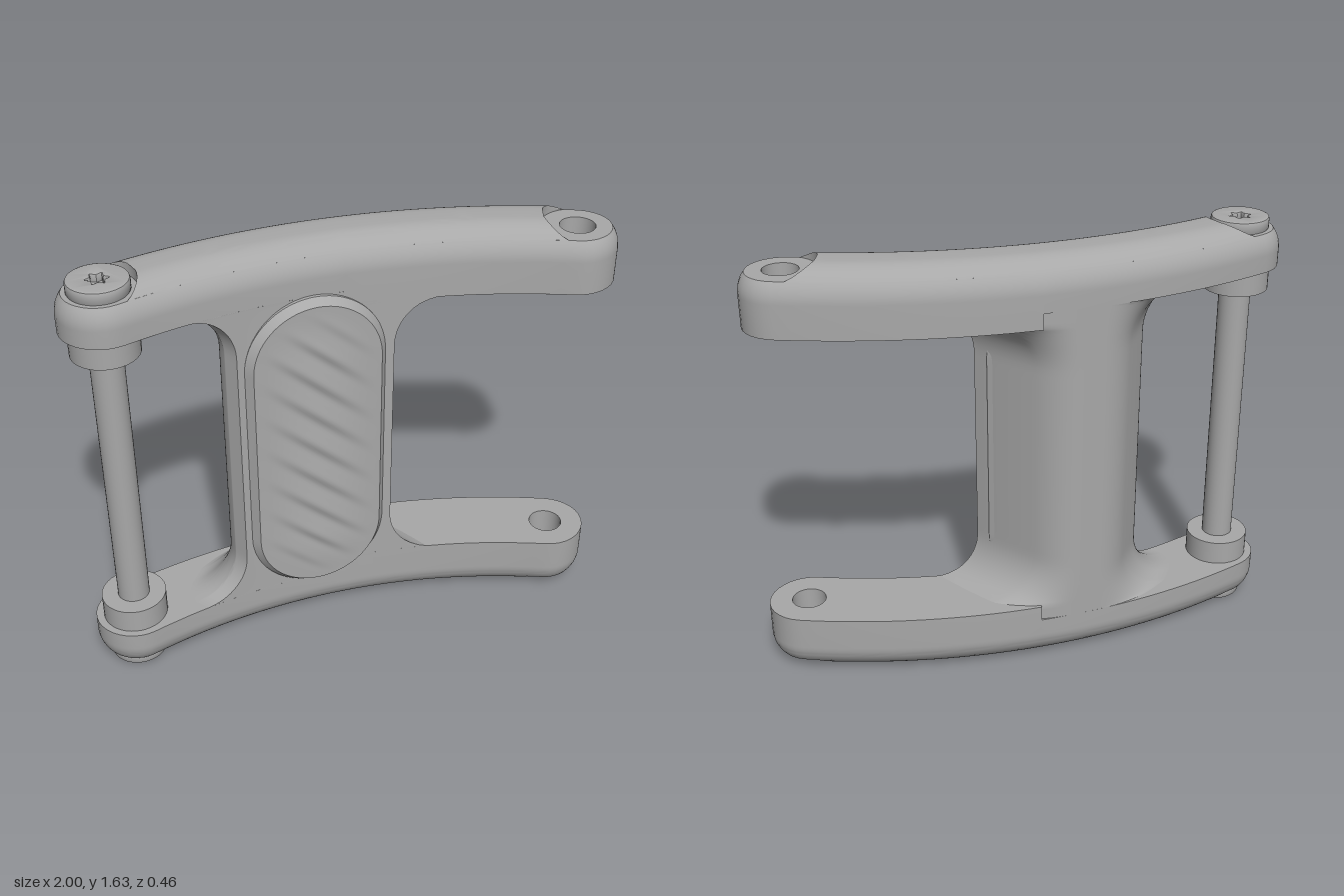
import * as THREE from 'three';
import { mergeGeometries, toCreasedNormals } from 'three/addons/utils/BufferGeometryUtils.js';

const H = 1.635;                 // overall height
const RC = 2.38, ZC = 2.30;      // bend radius of the frame and its centre in z
const PIN_X = 0.85, PIN_Z = 0.077;
const S_END = RC * Math.asin(PIN_X / RC); // arc length to the pin axis
const HALF = 0.15, ROUND = 0.12, FLOOR = 0.045, SPOT = 0.13, HOLE = 0.065;

const metal = new THREE.MeshStandardMaterial({ color: 0xa8a8a8 });
metal.name = 'grey metal';

// Bends (distance along the arc, offset to the back, height) into space
function bend(s, r, y) {
  const a = s / RC;
  return [(RC + r) * Math.sin(a), y, ZC - (RC + r) * Math.cos(a)];
}

// Skin over rows of points
function skin(rows) {
  const n = rows[0].length, index = [];
  for (let i = 0; i < rows.length - 1; i++) {
    for (let j = 0; j < n - 1; j++) {
      const a = i * n + j, b = a + n;
      index.push(a, a + 1, b, a + 1, b + 1, b);
    }
  }
  const g = new THREE.BufferGeometry();
  g.setAttribute('position', new THREE.Float32BufferAttribute(rows.flat(2), 3));
  g.setIndex(index);
  return g;
}

function flip(g) {
  const ix = g.index.array;
  for (let i = 0; i < ix.length; i += 3) [ix[i], ix[i + 1]] = [ix[i + 1], ix[i]];
  return g;
}

// Flat strip between the two sides of an arm outline, up to point count
function stripCap(outline, y, count) {
  const at = p => bend(p[0], p[1], y);
  return skin([outline.slice(0, count).map(at), outline.slice().reverse().slice(0, count).map(at)]);
}

// Flat end of an arm with the pin hole
function endCap(outline, y) {
  const shape = new THREE.Shape(outline.slice(13, 36).map(p => new THREE.Vector2(p[0], p[1])));
  shape.holes.push(new THREE.Path().absarc(S_END, 0, HOLE, 0, Math.PI * 2, true));
  const g = new THREE.ShapeGeometry(shape, 16);
  g.deleteAttribute('normal');
  g.deleteAttribute('uv');
  const p = g.attributes.position;
  for (let i = 0; i < p.count; i++) p.setXYZ(i, ...bend(p.getX(i), p.getY(i), y));
  return g;
}

// Plan of half an arm: a round end, or one scooped out around the pin
function armOutline(w, scooped) {
  const pts = [], n = 16;
  const phi = Math.asin(w / SPOT);
  const end = scooped ? S_END - SPOT * Math.cos(phi) : S_END;
  for (let i = 0; i < n; i++) pts.push([end * i / n, -w]);
  for (let i = 0; i <= n; i++) {
    const t = 2 * i / n - 1;
    pts.push(scooped
      ? [S_END - SPOT * Math.cos(phi * t), SPOT * Math.sin(phi * t)]
      : [S_END + w * Math.cos(t * Math.PI / 2), w * Math.sin(t * Math.PI / 2)]);
  }
  for (let i = n - 1; i >= 0; i--) pts.push([end * i / n, w]);
  return pts;
}

// Upper left half arm, mirrored to the other corners
function halfArm(thickness, sx, sy) {
  const split = Math.acos(1 - FLOOR / ROUND);
  const level = t => [ROUND * (1 - Math.cos(t)), HALF - ROUND * (1 - Math.sin(t))];
  const upper = [], lower = [[thickness, HALF]];
  for (let i = 0; i <= 8; i++) {
    lower.push(level(Math.PI / 2 + (split - Math.PI / 2) * i / 8));
    upper.push(level(split * (1 - i / 8)));
  }
  const wall = (levels, scooped) => skin(levels.map(([d, w]) =>
    armOutline(w, scooped).map(p => bend(p[0], p[1], H - d))));
  const hole = [thickness, FLOOR].map(d => Array.from({ length: 33 }, (_, i) => {
    const a = i / 32 * Math.PI * 2;
    return bend(S_END + HOLE * Math.cos(a), HOLE * Math.sin(a), H - d);
  }));
  const under = armOutline(HALF, false);
  const g = mergeGeometries([
    wall(lower, false), wall(upper, true), flip(skin(hole)),
    stripCap(armOutline(level(0)[1], true), H, 25),
    endCap(armOutline(level(split)[1], false), H - FLOOR),
    flip(stripCap(under, H - thickness, 14)), flip(endCap(under, H - thickness)),
  ]);
  g.scale(sx, sy, 1);
  if (sy < 0) g.translate(0, H, 0);
  if (sx * sy < 0) flip(g);
  return toCreasedNormals(g, 0.6);
}

// Upright web: flat front, sloping left flank, rounded right flank,
// with fillets flaring into the arms
function webGeometry() {
  const F = 0.185, h = 0.1497, rows = [], N = 60;
  const section = new THREE.Shape();
  section.moveTo(0.187, -h);
  section.lineTo(0.009, 0.066);
  section.quadraticCurveTo(-0.06, h, -0.14, h);
  section.lineTo(-0.21, h);
  section.quadraticCurveTo(-0.28, h, -0.336, 0.098);
  section.lineTo(-0.419, 0.022);
  section.quadraticCurveTo(-0.467, -0.02, -0.467, -0.08);
  section.lineTo(-0.467, -0.095);
  section.lineTo(-0.44, -h);
  section.closePath();
  const pts = section.curves.flatMap(c => c.getPoints(12).slice(0, -1));
  pts.push(pts[0]);
  const flare = (y, t) => {
    const d = Math.min(F, Math.max(0, F - (Math.min(y, H - y) - t)));
    return F - Math.sqrt(F * F - d * d);
  };
  for (let i = 0; i <= N; i++) {
    // levels crowd toward the fillets
    const y = H / 2 - (H / 2 - 0.185) * Math.cos(Math.PI * i / N);
    const left = flare(y, 0.245), right = flare(y, 0.185);
    rows.push(pts.map(p => {
      const k = THREE.MathUtils.clamp((p.x + 0.18) / 0.18, -1, 1);
      return bend(p.x + k * (k > 0 ? left : right), p.y, y);
    }));
  }
  return toCreasedNormals(skin(rows), 0.6);
}

// Bevelled stadium plate, front face at z = 0
function padGeometry(w, h) {
  const s = new THREE.Shape();
  s.absarc(0, h - w, w, 0, Math.PI, false);
  s.absarc(0, w - h, w, Math.PI, Math.PI * 2, false);
  const g = new THREE.ExtrudeGeometry(s, { depth: 0.05, bevelThickness: 0.03, bevelSize: 0.025, bevelSegments: 1, curveSegments: 24 });
  g.translate(0, 0, -0.08);
  return toCreasedNormals(g, 0.5);
}

// Diagonal ripples fading out toward the rim
function rippleGeometry(w, h) {
  const rows = [];
  for (let i = 0; i <= 120; i++) {
    const y = -h * Math.cos(Math.PI * i / 120);
    const over = Math.max(0, Math.abs(y) - (h - w));
    const half = Math.sqrt(Math.max(0, w * w - over * over));
    rows.push(Array.from({ length: 33 }, (_, j) => {
      const x = half * (j / 16 - 1);
      const fade = Math.max(0, 1 - (x / w) ** 2 - (over / w) ** 2) ** 2;
      const p = (y + 0.85 * x) / 0.14;
      const wave = 0.5 + 0.5 * Math.sin(p * Math.PI * 2 + 0.5 * Math.sin(p * Math.PI * 2));
      return [x, y, 0.001 + 0.011 * fade * wave];
    }));
  }
  const g = skin(rows);
  g.computeVertexNormals();
  return g;
}

// Screw head with a six-lobed socket
function screwGeometry() {
  const s = new THREE.Shape().absarc(0, 0, 0.098, 0, Math.PI * 2, false);
  s.holes.push(new THREE.Path(Array.from({ length: 48 }, (_, i) => {
    const a = -i / 48 * Math.PI * 2, r = 0.042 + 0.007 * Math.cos(6 * a);
    return new THREE.Vector2(r * Math.cos(a), r * Math.sin(a));
  })));
  const g = new THREE.ExtrudeGeometry(s, { depth: 0.03, bevelThickness: 0.01, bevelSize: 0.01, bevelSegments: 2, curveSegments: 24 });
  g.rotateX(-Math.PI / 2);
  return toCreasedNormals(g, 0.6);
}

export function createModel() {
  const model = new THREE.Group();
  model.name = 'hingeLink';
  const add = (name, geometry, x = 0, y = 0, z = 0, parent = model) => {
    const m = new THREE.Mesh(geometry, metal);
    m.name = name;
    m.position.set(x, y, z);
    parent.add(m);
  };

  // Frame
  for (const [v, sy] of [['upper', 1], ['lower', -1]]) {
    add(v + 'LeftArm', halfArm(0.245, 1, sy));
    add(v + 'RightArm', halfArm(0.185, -1, sy));
  }
  add('web', webGeometry());

  // Grip pad
  const pad = new THREE.Group();
  pad.name = 'gripPad';
  pad.position.set(-0.118, 0.82, 0.117);
  pad.rotation.y = 0.06;
  model.add(pad);
  add('padPlate', padGeometry(0.24, 0.61), 0, 0, 0, pad);
  add('padRipples', rippleGeometry(0.235, 0.605), 0, 0, 0, pad);

  // Pin with collars and screws
  add('pin', new THREE.CylinderGeometry(0.06, 0.06, H - 0.2, 32), -PIN_X, H / 2, PIN_Z);
  for (const [v, sy] of [['upper', 1], ['lower', -1]]) {
    const end = new THREE.Group();
    end.name = v + 'PinEnd';
    end.position.set(-PIN_X, H / 2, PIN_Z);
    if (sy < 0) end.rotation.x = Math.PI;
    model.add(end);
    add('collar', new THREE.CylinderGeometry(0.122, 0.122, 0.1, 40), 0, H / 2 - 0.23, 0, end);
    add('screwHead', screwGeometry(), 0, H / 2 - 0.04, 0, end);
    add('socketFloor', new THREE.CircleGeometry(0.06, 24).rotateX(-Math.PI / 2), 0, H / 2 - 0.03, 0, end);
  }
  return model;
}
